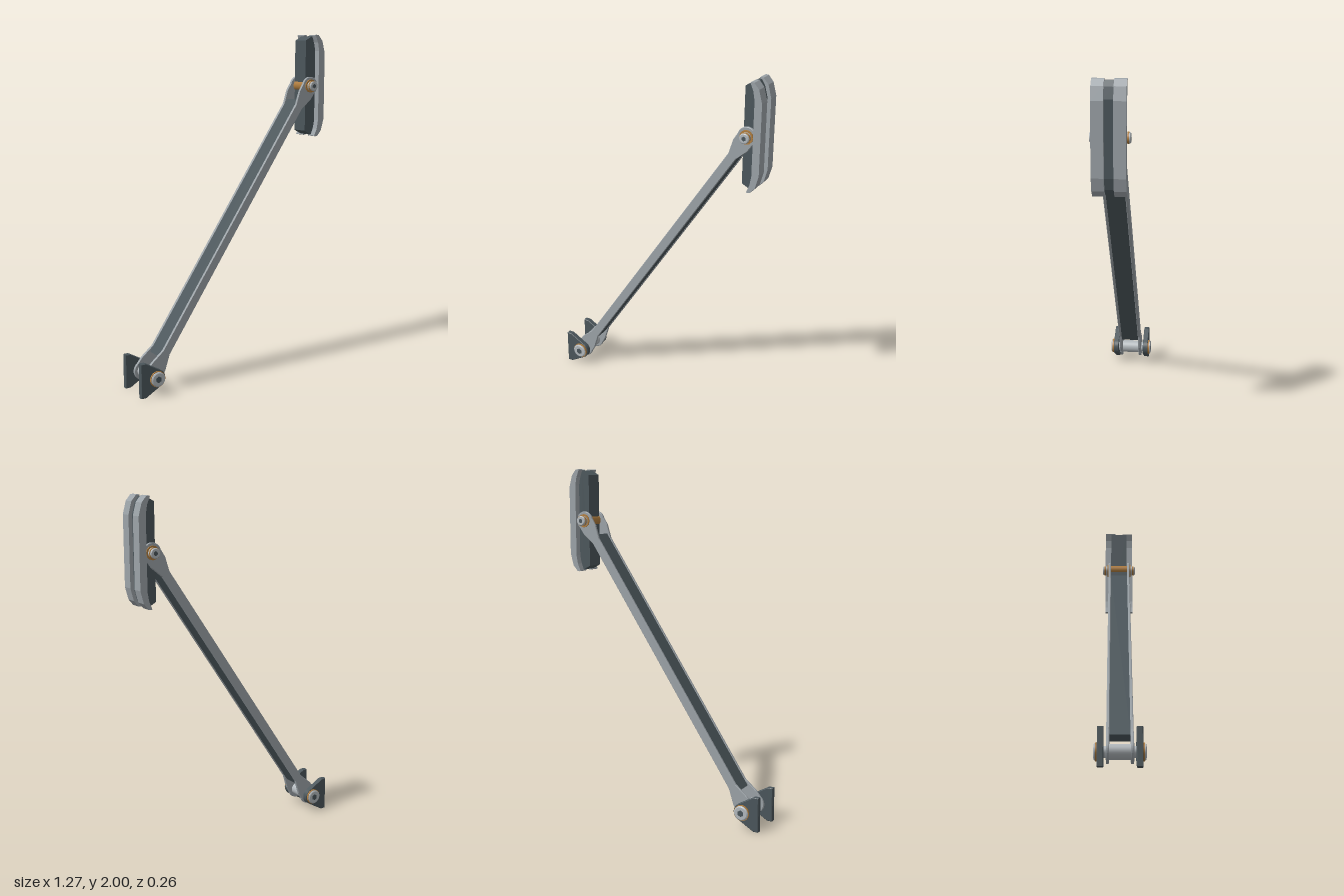
import * as THREE from 'three';

const mat = (name, color) => new THREE.MeshStandardMaterial({ name, color });

export function createModel() {
  const brushed = mat('brushed grey metal', 0x9ca3a8);
  const dark = mat('dark slate metal', 0x4b565b);
  const bronze = mat('bronze', 0xb07d3e);
  const steel = mat('light steel', 0xb3b9bd);

  const model = new THREE.Group();
  model.name = 'strutWithShoe';
  const low = new THREE.Vector2(-0.535, 0.1);
  const high = new THREE.Vector2(0.545, 1.7);
  const length = low.distanceTo(high);

  const add = (parent, name, geometry, material) => {
    const mesh = new THREE.Mesh(geometry, material);
    mesh.name = name;
    parent.add(mesh);
    return mesh;
  };

  // Plate cut from an outline in the xy plane, lying between two z values
  const plate = (shape, z0, z1, bevel = 0.003) => {
    const geometry = new THREE.ExtrudeGeometry(shape, {
      depth: z1 - z0 - 2 * bevel, bevelEnabled: bevel > 0, bevelSize: bevel,
      bevelThickness: bevel, bevelOffset: -bevel, bevelSegments: 1, curveSegments: 16,
    });
    return geometry.translate(0, 0, z0 + bevel);
  };
  const polygon = (points) => new THREE.Shape(points.map(([x, y]) => new THREE.Vector2(x, y)));

  // Round part along z
  const disc = (parent, name, material, centre, r0, r1, z0, z1, sides = 32) => {
    const geometry = new THREE.CylinderGeometry(r1, r0, z1 - z0, sides).rotateX(Math.PI / 2);
    add(parent, name, geometry, material).position.set(centre.x, centre.y, (z0 + z1) / 2);
  };

  // Inclined arm: two rails with widened eyes and a solid core between them
  const arm = new THREE.Group();
  arm.name = 'arm';
  arm.position.set(low.x, low.y, 0);
  arm.rotation.z = Math.atan2(high.y - low.y, high.x - low.x);
  model.add(arm);

  const w = 0.026;
  const eye = 0.058;
  const a = 1.25;
  const rail = new THREE.Shape();
  rail.moveTo(0.15, w);
  rail.lineTo(0.06, 0.052);
  rail.lineTo(eye * Math.cos(a), eye * Math.sin(a));
  rail.absarc(0, 0, eye, a, 2 * Math.PI - a, false);
  rail.lineTo(0.06, -0.052);
  rail.lineTo(0.15, -w);
  rail.lineTo(length - 0.145, -w);
  rail.lineTo(length - 0.065, -0.05);
  rail.absarc(length, 0, 0.054, Math.PI + a, 3 * Math.PI - a, false);
  rail.lineTo(length - 0.065, 0.05);
  rail.lineTo(length - 0.145, w);
  rail.closePath();
  add(arm, 'frontRail', plate(rail, 0.053, 0.069), brushed);
  add(arm, 'backRail', plate(rail, -0.069, -0.053), brushed);
  const core = new THREE.BoxGeometry(length - 0.22, 0.044, 0.106);
  add(arm, 'armCore', core, dark).position.x = length / 2;

  // Pair of wall brackets with a rounded nose round the lower pivot
  const bracket = new THREE.Shape();
  bracket.moveTo(-0.635, 0);
  bracket.lineTo(-0.605, 0);
  bracket.absarc(low.x, low.y, 0.052, -1.08, 1.08, false);
  bracket.lineTo(-0.605, 0.2);
  bracket.lineTo(-0.635, 0.2);
  bracket.closePath();
  add(model, 'frontBracket', plate(bracket, 0.08, 0.112), dark);
  add(model, 'backBracket', plate(bracket, -0.112, -0.08), dark);

  // Pivot pins
  disc(model, 'lowerSpacer', steel, low, 0.039, 0.039, -0.055, 0.055);
  disc(model, 'lowerPin', steel, low, 0.03, 0.03, -0.115, 0.115);
  disc(model, 'upperSleeve', bronze, high, 0.034, 0.034, -0.054, 0.054);

  // Washer, bevelled head and hexagonal recess at both ends of each pin
  const pinEnds = (name, centre, z, r) => {
    for (const turn of [0, Math.PI]) {
      const end = new THREE.Group();
      end.name = name + (turn ? 'Back' : 'Front');
      end.position.set(centre.x, centre.y, 0);
      end.rotation.y = turn;
      model.add(end);
      const o = new THREE.Vector2();
      disc(end, 'washer', bronze, o, r, r, z, z + 0.009);
      disc(end, 'head', steel, o, r * 0.92, r * 0.92, z + 0.009, z + 0.014);
      disc(end, 'headBevel', steel, o, r * 0.92, r * 0.78, z + 0.014, z + 0.018);
      disc(end, 'recess', dark, o, r * 0.42, r * 0.42, z + 0.017, z + 0.019, 6);
    }
  };
  pinEnds('lowerPinEnd', low, 0.112, 0.046);
  pinEnds('upperPinEnd', high, 0.088, 0.031);
  for (const s of [-1, 1]) {
    disc(model, 'upperFlange', bronze, high, 0.039, 0.039, s * 0.0725 - 0.0035, s * 0.0725 + 0.0035, 12);
    disc(model, 'upperBush', steel, high, 0.029, 0.029, s * 0.082 - 0.0065, s * 0.082 + 0.0065);
  }

  // Shoe: dark backing block, centre rib and two pads with swept-back ends
  const mirrored = (half) => polygon([...half, ...half.map(([x, y]) => [x, 3.4 - y]).reverse()]);
  const block = mirrored([[0.52, 1.967], [0.565, 1.992], [0.575, 1.97], [0.592, 1.91]]);
  const rib = mirrored([[0.56, 1.99], [0.575, 1.99], [0.594, 1.96], [0.61, 1.9]]);
  const pad = mirrored([[0.59, 1.905], [0.581, 1.955], [0.563, 1.997], [0.57, 2],
    [0.585, 1.998], [0.613, 1.965], [0.632, 1.895]]);
  add(model, 'shoeBlock', plate(block, -0.052, 0.052, 0), dark);
  add(model, 'shoeRib', plate(rib, -0.03, 0.03, 0), dark);
  add(model, 'frontPad', plate(pad, 0.025, 0.09, 0), brushed);
  add(model, 'backPad', plate(pad, -0.09, -0.025, 0), brushed);

  return model;
}
